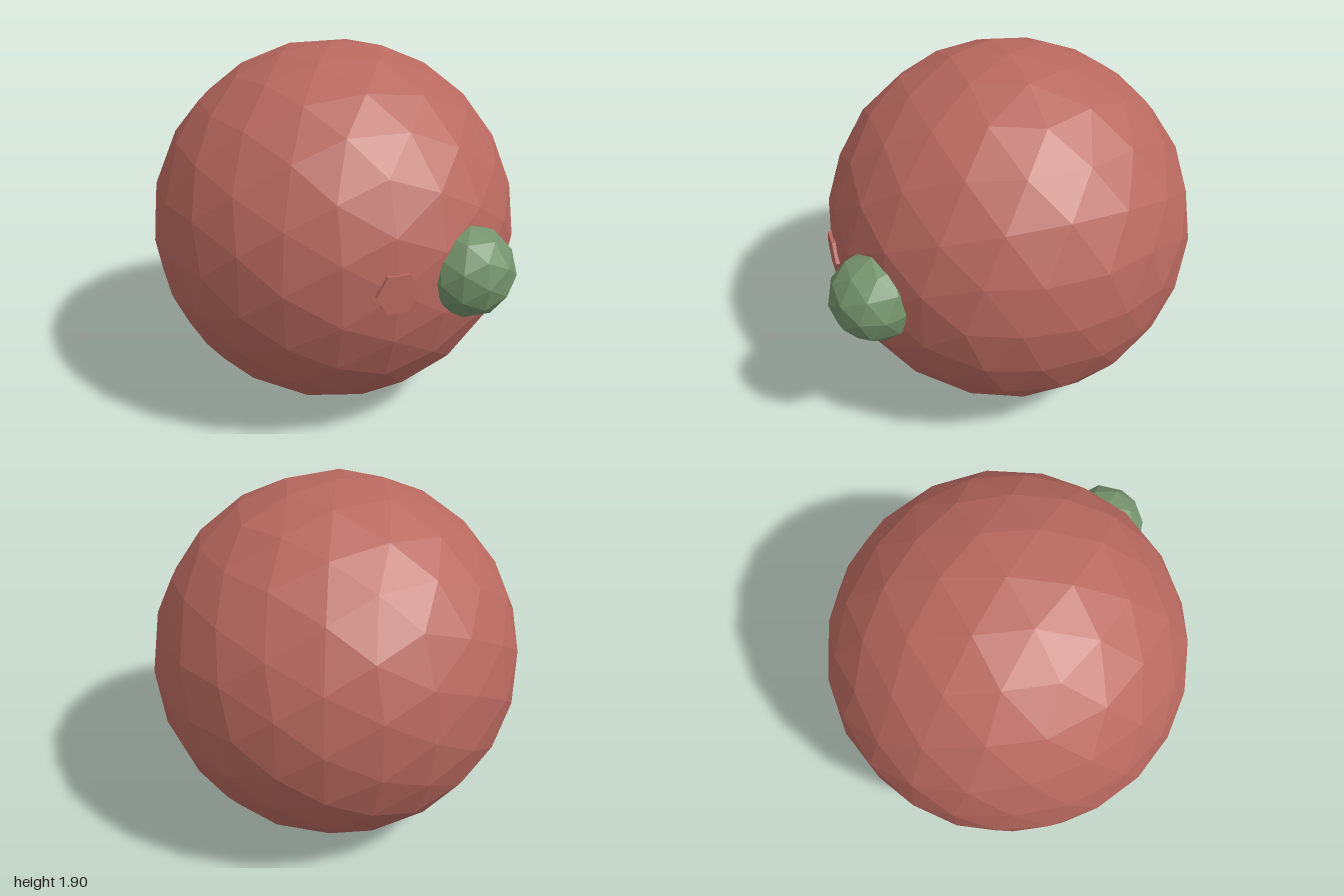
import * as THREE from 'three';

const red = new THREE.MeshStandardMaterial({ color: 0xb9695f });
red.name = 'brick red';
const green = new THREE.MeshStandardMaterial({ color: 0x74936c });
green.name = 'leaf green';

// Faceted icosphere, halving every edge `steps` times
function icosphere(radius, steps) {
  let geo = new THREE.IcosahedronGeometry(radius, 0);
  for (let i = 0; i < steps; i++) {
    const corners = Array.from(geo.attributes.position.array);
    const order = Array.from({ length: corners.length / 3 }, (_, k) => k);
    geo = new THREE.PolyhedronGeometry(corners, order, radius, 1);
  }
  geo.computeVertexNormals(); // unshared corners give flat facets
  return geo;
}

function addPart(group, name, geo, material, x, y, z) {
  const mesh = new THREE.Mesh(geo, material);
  mesh.name = name;
  mesh.position.set(x, y, z);
  group.add(mesh);
  return mesh;
}

export function createModel() {
  const model = new THREE.Group();
  model.name = 'ball';
  const R = 0.952;

  // Large faceted body
  addPart(model, 'body', icosphere(R, 2), red, 0, R, R - 1);

  // Small ball set into the front left
  addPart(model, 'sideBall', icosphere(0.226, 1), green, 0.405, 0.957, 0.774);

  // Hexagonal stud at the centre of the front
  const stud = new THREE.CylinderGeometry(0.107, 0.107, 0.06, 6, 1, false, Math.PI / 2)
    .toNonIndexed();
  stud.computeVertexNormals();
  stud.rotateX(Math.PI / 2);
  addPart(model, 'frontStud', stud, red, 0, 0.955, 0.875);

  return model;
}
